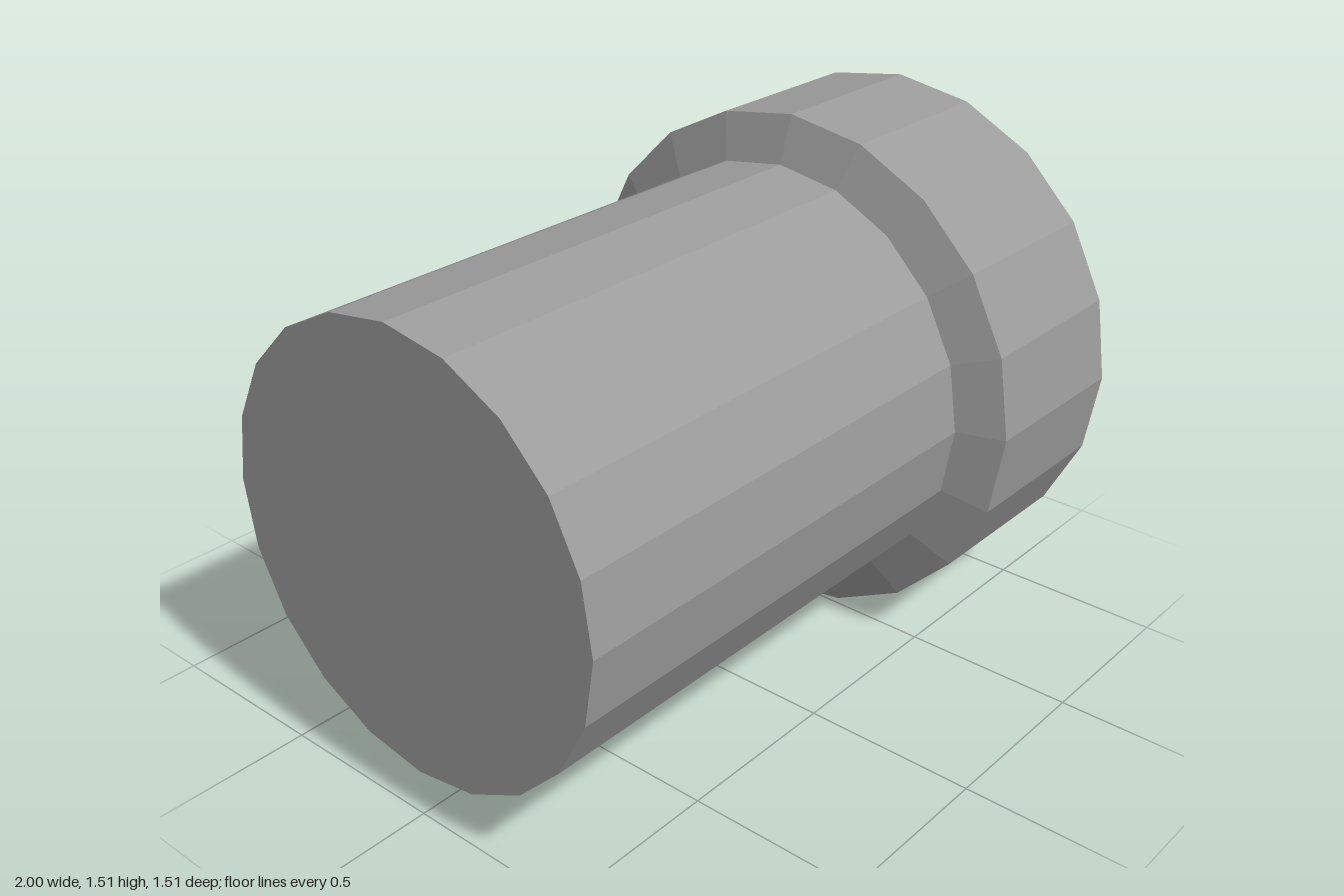
import * as THREE from 'three';

const SIDES = 20;
const SOCKET_RADIUS = 0.757;
const PIPE_RADIUS = 0.623;
const BORE_RADIUS = 0.64;

const material = new THREE.MeshStandardMaterial({ color: 0x9c9c9c, flatShading: true });

// Faceted part turned around the x axis, from [x, radius] pairs
function turned(name, profile) {
  const points = profile.map(([x, radius]) => new THREE.Vector2(radius, x));
  const geometry = new THREE.LatheGeometry(points, SIDES).rotateZ(-Math.PI / 2).toNonIndexed();
  geometry.computeVertexNormals();
  const mesh = new THREE.Mesh(geometry, material);
  mesh.name = name;
  return mesh;
}

export function createModel() {
  const group = new THREE.Group();
  group.name = 'pipeFitting';

  // Straight pipe with a closed end
  const pipe = turned('pipe', [[-1, 0], [-1, PIPE_RADIUS], [0.43, PIPE_RADIUS]]);

  // Wider socket: sloped shoulder, outer wall, rim, bore and bore floor
  const socket = turned('socket', [
    [0.43, PIPE_RADIUS],
    [0.475, SOCKET_RADIUS],
    [1, SOCKET_RADIUS],
    [1, BORE_RADIUS],
    [0.575, BORE_RADIUS],
    [0.575, 0],
  ]);

  for (const part of [pipe, socket]) {
    part.position.y = SOCKET_RADIUS;
    group.add(part);
  }
  return group;
}
